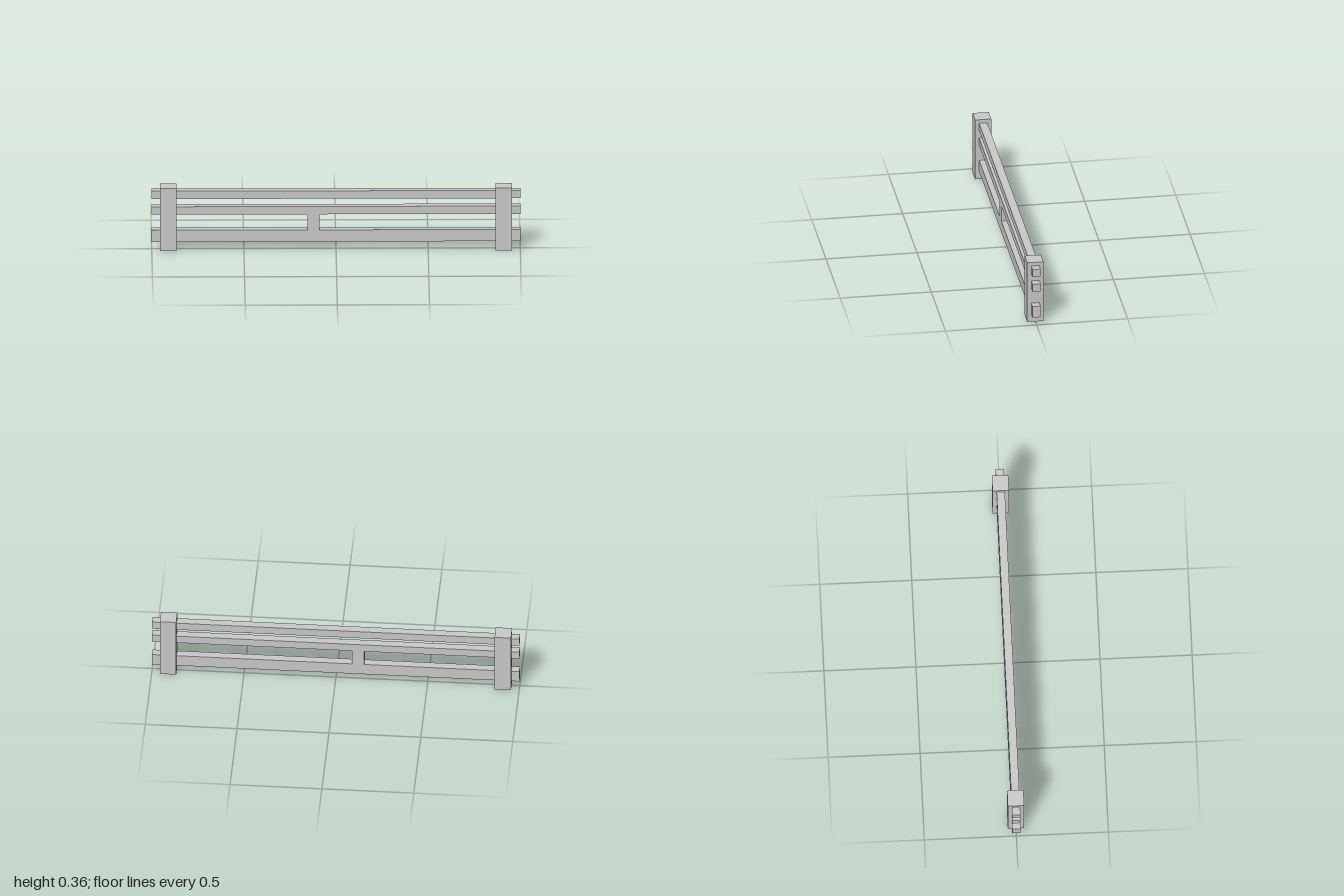
import * as THREE from 'three';

export function createModel() {
  const model = new THREE.Group();
  const material = new THREE.MeshStandardMaterial({ color: 0xcccccc, flatShading: true });

  // Box placed by its centre x, bottom y and size, centred on z = 0
  function addBeam(name, x, bottom, width, height, depth) {
    const beam = new THREE.Mesh(new THREE.BoxGeometry(width, height, depth), material);
    beam.name = name;
    beam.position.set(x, bottom + height / 2, 0);
    model.add(beam);
  }

  const postSize = 0.089;
  const railDepth = 0.0445;

  // End posts
  addBeam('leftPost', 0.911, 0, postSize, 0.356, postSize);
  addBeam('rightPost', -0.911, 0, postSize, 0.356, postSize);

  // Rails running through both posts
  addBeam('bottomRail', 0, 0.0455, 2, 0.0665, railDepth);
  addBeam('middleRail', 0, 0.201, 2, 0.0445, railDepth);
  addBeam('topRail', 0, 0.29, 2, 0.0445, railDepth);

  // Short off-centre strut between the lower rails
  addBeam('strut', -0.122, 0.112, 0.0665, 0.089, railDepth);

  return model;
}
